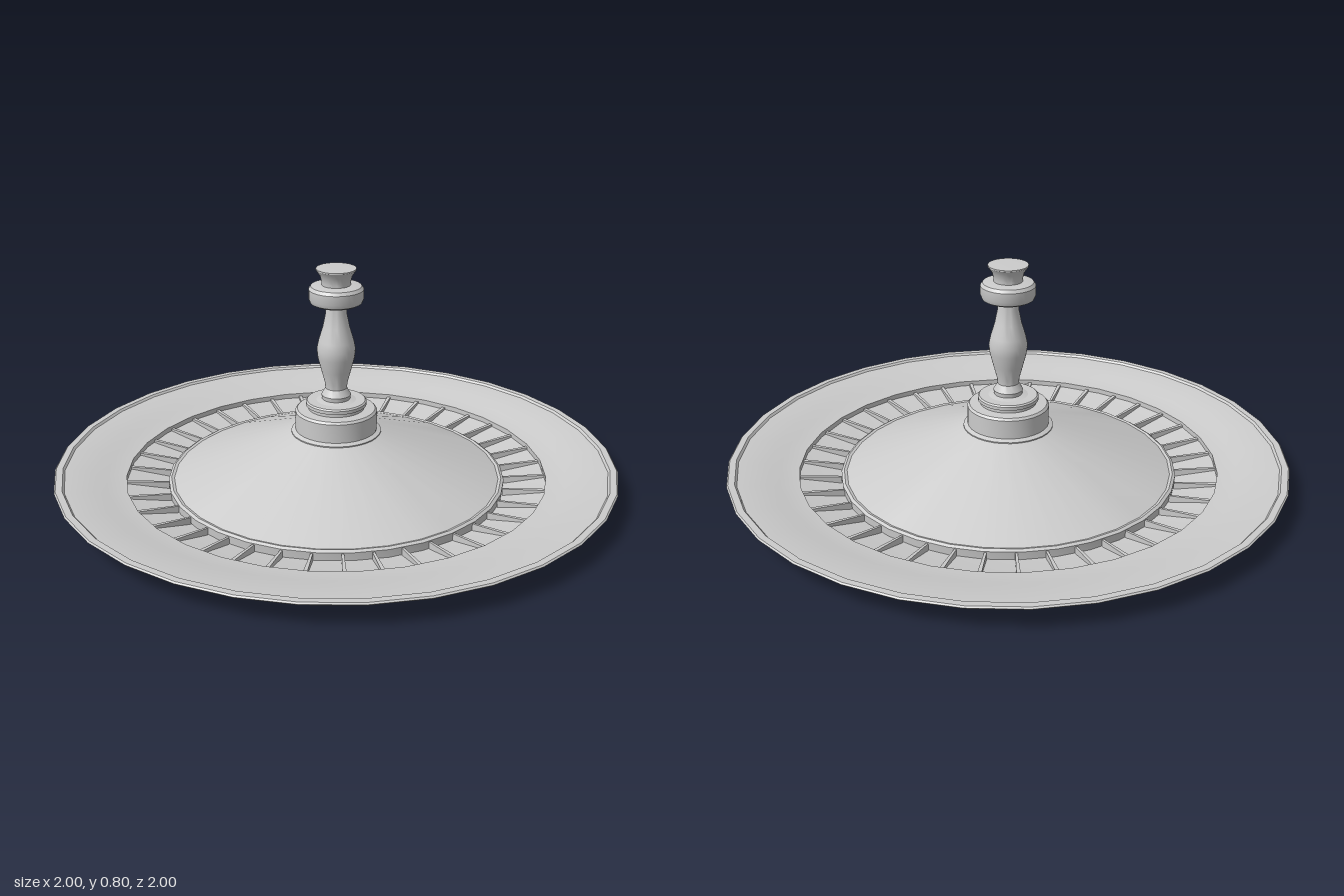
import * as THREE from 'three';
import { toCreasedNormals } from 'three/addons/utils/BufferGeometryUtils.js';

const SIDES = 32;
const POCKETS = 38;
const material = new THREE.MeshStandardMaterial({ color: 0xcccccc, side: THREE.DoubleSide });

// Turned part from [radius, height] pairs
function turned(name, profile, crease = 0.45) {
  const points = profile.map(([r, y]) => new THREE.Vector2(r, y));
  const geometry = toCreasedNormals(new THREE.LatheGeometry(points, SIDES), crease);
  const mesh = new THREE.Mesh(geometry, material);
  mesh.name = name;
  return mesh;
}

// Thin upright blade with its length along +x
function dividerGeometry() {
  const side = new THREE.Shape([
    new THREE.Vector2(0.6, 0.003),
    new THREE.Vector2(0.74, 0.01),
    new THREE.Vector2(0.79, 0.024),
    new THREE.Vector2(0.79, 0.044),
    new THREE.Vector2(0.6, 0.03),
  ]);
  const geometry = new THREE.ExtrudeGeometry(side, { depth: 1, bevelEnabled: false });
  // Taper: narrower toward the hub
  const p = geometry.attributes.position;
  for (let i = 0; i < p.count; i++) {
    const width = 0.008 + (p.getX(i) - 0.6) * 0.04;
    p.setZ(i, (p.getZ(i) - 0.5) * width);
  }
  geometry.computeVertexNormals();
  return geometry;
}

export function createModel() {
  const wheel = new THREE.Group();
  wheel.name = 'spinningWheel';

  // Raised lip, shallow dish, pocket wall and sloping pocket floor
  wheel.add(turned('bowl', [
    [0.965, 0.078], [0.995, 0.08], [1, 0.085], [0.995, 0.09], [0.972, 0.09], [0.965, 0.082],
    [0.86, 0.073], [0.82, 0.06], [0.75, 0.052], [0.75, 0.033], [0.61, 0.006], [0.55, 0],
  ], 0.35));

  // Hollow centre cone with a small edge bead
  wheel.add(turned('cone', [
    [0.6, 0.005], [0.602, 0.034], [0.592, 0.04], [0.582, 0.037], [0.15, 0.205],
  ], 0.3));

  // Pocket dividers
  const dividers = new THREE.Group();
  dividers.name = 'pocketDividers';
  const blade = dividerGeometry();
  for (let i = 0; i < POCKETS; i++) {
    const divider = new THREE.Mesh(blade, material);
    divider.name = 'divider';
    divider.rotation.y = Math.PI / 2 - 0.0236 - (i * 2 * Math.PI) / POCKETS;
    dividers.add(divider);
  }
  wheel.add(dividers);

  // Stepped collar, open underneath
  wheel.add(turned('collar', [
    [0.135, 0.2], [0.16, 0.2], [0.16, 0.205], [0.145, 0.212], [0.145, 0.28], [0.138, 0.288],
    [0.1, 0.29], [0.1, 0.3], [0.108, 0.303], [0.108, 0.315], [0.103, 0.32], [0, 0.32],
  ]));

  // Baluster spindle
  wheel.add(turned('spindle', [
    [0, 0.29], [0.07, 0.29], [0.07, 0.32], [0.05, 0.325], [0.052, 0.34], [0.038, 0.365], [0.04, 0.385],
    [0.052, 0.43], [0.065, 0.48], [0.068, 0.51], [0.062, 0.54], [0.047, 0.59], [0.037, 0.64], [0.035, 0.68],
  ], 0.5));

  // Thick knob ring
  wheel.add(turned('knob', [
    [0, 0.672], [0.075, 0.672], [0.09, 0.68], [0.096, 0.695], [0.096, 0.727], [0.088, 0.738],
    [0.065, 0.742], [0, 0.742],
  ], 0.6));

  // Flared finial with a flat top
  wheel.add(turned('finial', [
    [0.05, 0.735], [0.05, 0.752], [0.056, 0.775], [0.07, 0.795], [0.07, 0.8], [0, 0.802],
  ]));

  return wheel;
}
